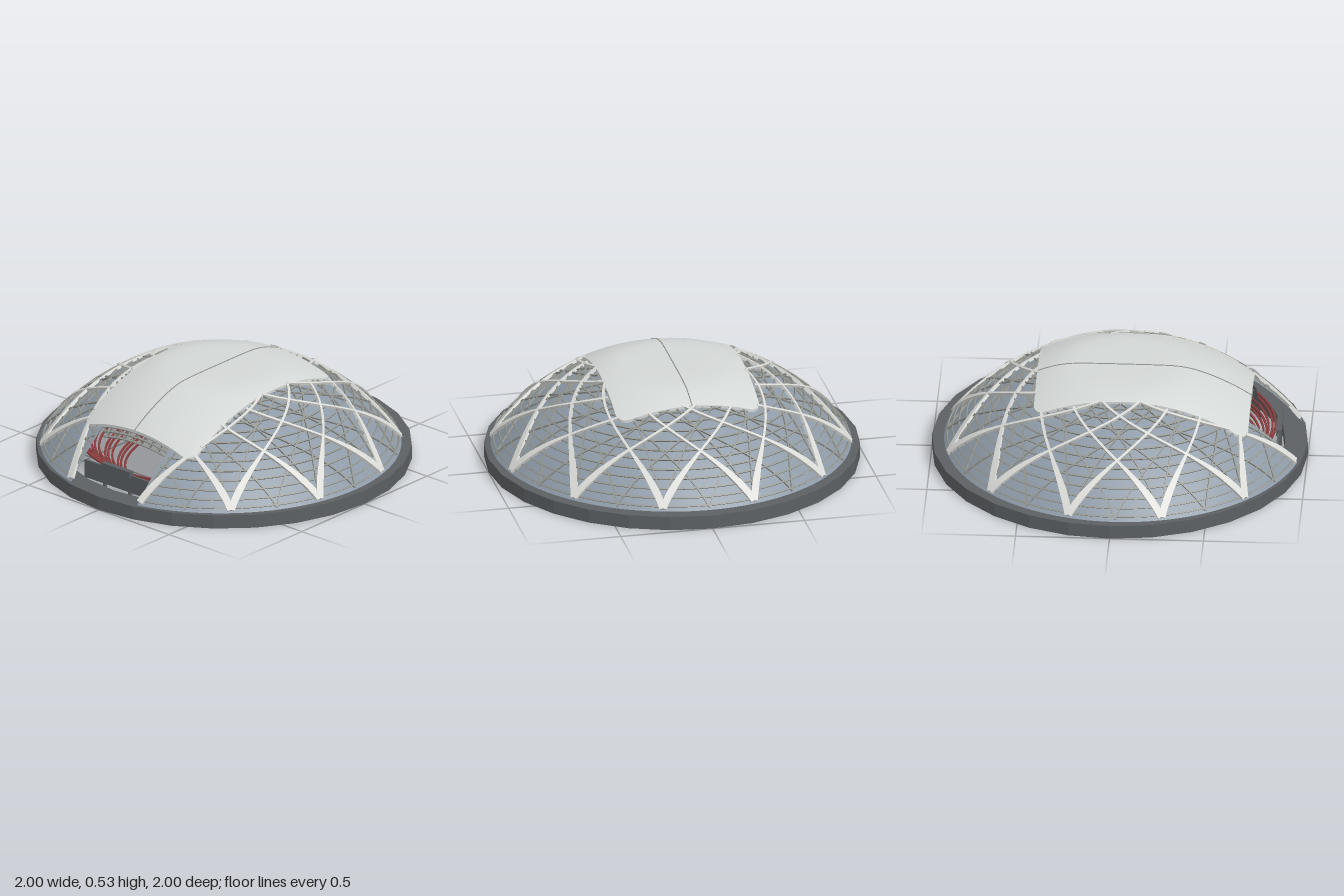
import * as THREE from 'three';
import { mergeGeometries } from 'three/addons/utils/BufferGeometryUtils.js';

const RAD = Math.PI / 180;
const R = 1.215, CY = -0.665, CZ = 0.025, EDGE = 0.96;

const paint = (name, color, side = THREE.FrontSide) => {
  const m = new THREE.MeshStandardMaterial({ color, side });
  m.name = name;
  return m;
};

// Spherical cap that the whole dome follows
const domeY = (x, z) => CY + Math.sqrt(R * R - x * x - (z - CZ) ** 2);
const onDome = (r, a, lift = 0) => {
  const x = r * Math.sin(a), z = CZ + r * Math.cos(a);
  return new THREE.Vector3(x, domeY(x, z) + lift, z);
};
const domeNormal = p => new THREE.Vector3(p.x, p.y - CY, p.z - CZ).normalize();
const upNormal = () => new THREE.Vector3(0, 1, 0);

// Area left open for the roof and the entrance
const inHole = p => (Math.abs(p.x) < 0.37 && p.z > -0.42 && p.z < 0.68) || (Math.abs(p.x) < 0.238 && p.z > 0.6);

// Rectangular bar swept along points
function bar(points, width, height, normalAt = domeNormal) {
  const pos = [], index = [], n = points.length;
  points.forEach((p, i) => {
    const t = points[Math.min(i + 1, n - 1)].clone().sub(points[Math.max(i - 1, 0)]).normalize();
    const s = t.clone().cross(normalAt(p)).normalize();
    const u = s.clone().cross(t);
    const w = (typeof width === 'function' ? width(p) : width) / 2;
    for (const [a, b] of [[1, 1], [-1, 1], [-1, -1], [1, -1]])
      pos.push(...p.clone().addScaledVector(s, a * w).addScaledVector(u, b * height / 2));
    if (i) for (let j = 0; j < 4; j++) {
      const a = (i - 1) * 4 + j, b = (i - 1) * 4 + (j + 1) % 4;
      index.push(a, a + 4, b, b, a + 4, b + 4);
    }
  });
  const e = (n - 1) * 4;
  index.push(0, 1, 2, 0, 2, 3, e, e + 2, e + 1, e, e + 3, e + 2);
  return surface(pos, index, true);
}

function surface(pos, index, flat = false) {
  let g = new THREE.BufferGeometry();
  g.setAttribute('position', new THREE.Float32BufferAttribute(pos, 3));
  g.setIndex(index);
  if (flat) g = g.toNonIndexed();
  g.computeVertexNormals();
  return g;
}

// Bars along a path, broken wherever the path enters the opening
function clippedBars(points, width, height) {
  const out = [];
  let run = [];
  for (const p of [...points, null]) {
    if (p && !inHole(p)) run.push(p);
    else {
      if (run.length > 1) out.push(bar(run, width, height));
      run = [];
    }
  }
  return out;
}

// Curved rib climbing from the rim while turning sideways
function ribPath(start, dir, twist, lift) {
  const pts = [];
  for (let i = 0; i <= 30; i++) {
    const u = 0.56 * i / 30;
    pts.push(onDome(0.955 - u, (start + dir * twist * (36.6 * u + 124 * u * u)) * RAD, lift));
  }
  return pts;
}

function ellipse(a, b, y, n = 72) {
  return Array.from({ length: n + 1 }, (_, i) =>
    new THREE.Vector3(a * Math.sin(i / n * 2 * Math.PI), y, CZ + b * Math.cos(i / n * 2 * Math.PI)));
}

export function createModel() {
  const model = new THREE.Group();
  const concrete = paint('darkConcrete', 0x5c6063);
  const glass = paint('blueGreyPanels', 0x8d9aa7, THREE.DoubleSide);
  const white = paint('paleSteel', 0xd9dad6);
  const grey = paint('greySteel', 0x92948f);
  const roofPaint = paint('roofMembrane', 0xd3d7d5);
  const red = paint('redSeats', 0x873a3a);
  const add = (name, geometry, material) => {
    const mesh = new THREE.Mesh(geometry, material);
    mesh.name = name;
    model.add(mesh);
  };

  // Faceted base ring
  const ringProfile = [[0.88, 0], [1, 0], [1, 0.075], [0.88, 0.075], [0.88, 0]].map(p => new THREE.Vector2(...p));
  const ring = new THREE.LatheGeometry(ringProfile, 28).toNonIndexed();
  ring.computeVertexNormals();
  add('baseRing', ring, concrete);

  // Dome skin from the rim up to the edge of the opening
  const pos = [], index = [], steps = 240, rows = 10, first = Math.asin(0.235 / EDGE);
  for (let i = 0; i <= steps; i++) {
    const a = first + (2 * Math.PI - 2 * first) * i / steps;
    const s = Math.sin(a), c = Math.cos(a);
    let inner = Math.min(0.365 / Math.max(Math.abs(s), 1e-6), (c > 0 ? 0.65 : 0.44) / Math.max(Math.abs(c), 1e-6));
    if (c > 0) inner = Math.max(inner, Math.min(EDGE, 0.235 / Math.max(Math.abs(s), 1e-6)));
    for (let j = 0; j <= rows; j++) pos.push(...onDome(inner + (EDGE - inner) * j / rows, a));
    if (i) for (let j = 0; j < rows; j++) {
      const p = (i - 1) * (rows + 1) + j, q = p + rows + 1;
      index.push(p, p + 1, q, q, p + 1, q + 1);
    }
  }
  add('domePanels', surface(pos, index), glass);

  // Crossing ribs: broad pale ones and thin grey ones
  const broad = [], thin = [];
  const taper = p => 0.013 + 0.026 * THREE.MathUtils.clamp((Math.hypot(p.x, p.z - CZ) - 0.72) / 0.16, 0, 1);
  for (let k = 0; k < 12; k++) for (const dir of [-1, 1]) {
    broad.push(...clippedBars(ribPath(15 + 30 * k, dir, 1, 0.009), taper, 0.018));
    thin.push(...clippedBars(ribPath(30 * k, dir, 1, 0.005), 0.008, 0.01));
    thin.push(...clippedBars(ribPath(15 + 30 * k, dir, 0.5, 0.005), 0.007, 0.01));
  }
  add('mainRibs', mergeGeometries(broad), white);
  add('thinRibs', mergeGeometries(thin), grey);

  // Horizontal hoops
  const hoops = [];
  for (const r of [0.945, 0.915, 0.88, 0.84, 0.8, 0.755, 0.71, 0.66, 0.605, 0.55, 0.49, 0.43]) {
    const pts = Array.from({ length: 181 }, (_, i) => onDome(r, i * 2 * RAD, 0.004));
    hoops.push(...clippedBars(pts, 0.009, 0.01));
  }
  add('hoops', mergeGeometries(hoops), grey);

  // Roof shell: dome shape softly levelled off at the top
  const roofY = (x, z) => {
    const k = 0.01;
    return -k * Math.log(Math.exp(-(domeY(x, z) + 0.013) / k) + Math.exp(-0.524 / k));
  };
  const W = 0.39, L = 0.57, ZC = 0.13, corner = 0.07;
  const roof = new THREE.BoxGeometry(2 * W, 0.016, 2 * L, 40, 1, 56);
  const rp = roof.attributes.position;
  for (let i = 0; i < rp.count; i++) {
    let x = rp.getX(i), z = rp.getZ(i);
    const dx = Math.abs(x) - (W - corner), dz = Math.abs(z) - (L - corner);
    if (dx > 0 && dz > 0) {
      const f = Math.max(dx, dz) / Math.hypot(dx, dz);
      x = Math.sign(x) * (W - corner + dx * f);
      z = Math.sign(z) * (L - corner + dz * f);
    }
    rp.setXYZ(i, x, roofY(x, z + ZC) + rp.getY(i) - 0.006, z + ZC);
  }
  roof.computeVertexNormals();
  add('roofShell', roof, roofPaint);

  // Seam between the roof halves
  const seam = Array.from({ length: 41 }, (_, i) => {
    const z = ZC - L + 2 * L * i / 40;
    return new THREE.Vector3(-0.012, roofY(-0.012, z) + 0.002, z);
  });
  add('roofSeam', bar(seam, 0.005, 0.006), grey);

  // Truss under the front edge of the roof
  const truss = [], chord = (x, drop) => new THREE.Vector3(x, domeY(x, 0.69) - drop, 0.69);
  for (const drop of [0.008, 0.035, 0.065])
    truss.push(bar(Array.from({ length: 17 }, (_, i) => chord(-0.24 + 0.03 * i, drop)), 0.012, 0.008));
  for (let i = 0; i < 16; i++) {
    const x = -0.24 + 0.03 * i;
    truss.push(bar([chord(x, i % 2 ? 0.065 : 0.008), chord(x + 0.03, i % 2 ? 0.008 : 0.065)], 0.006, 0.006));
  }
  add('entranceTruss', mergeGeometries(truss), grey);

  // Seating tiers
  const seats = [];
  for (let i = 0; i < 4; i++) for (const d of [0, 0.022, 0.038]) {
    const t = i / 3;
    seats.push(bar(ellipse(0.4 + 0.28 * t + d, 0.62 + 0.145 * t + d, 0.04 + 0.11 * t + d * 0.5), 0.011, 0.008, upNormal));
  }
  add('seatingTiers', mergeGeometries(seats), red);

  // Inner wall behind the seats, open towards the entrance
  const wallPos = [], wallIndex = [];
  for (let i = 0; i <= 64; i++) {
    const a = (22 + 316 * i / 64) * RAD;
    for (const [rx, rz, y] of [[0.74, 0.77, 0.05], [0.72, 0.74, 0.25]])
      wallPos.push(rx * Math.sin(a), y, CZ + rz * Math.cos(a));
    if (i) {
      const p = 2 * i - 2;
      wallIndex.push(p, p + 1, p + 2, p + 2, p + 1, p + 3);
    }
  }
  add('innerWall', surface(wallPos, wallIndex), concrete);

  // Entrance barrier on two legs
  const box = (w, h, d, x, y, z) => new THREE.BoxGeometry(w, h, d).translate(x, y, z);
  add('entranceBarrier', mergeGeometries([
    box(0.46, 0.1, 0.012, 0, 0.13, 0.85),
    box(0.2, 0.035, 0.03, 0, 0.183, 0.85),
    ...[-0.09, 0.09].map(x => box(0.015, 0.08, 0.015, x, 0.05, 0.85)),
  ]), concrete);

  return model;
}
